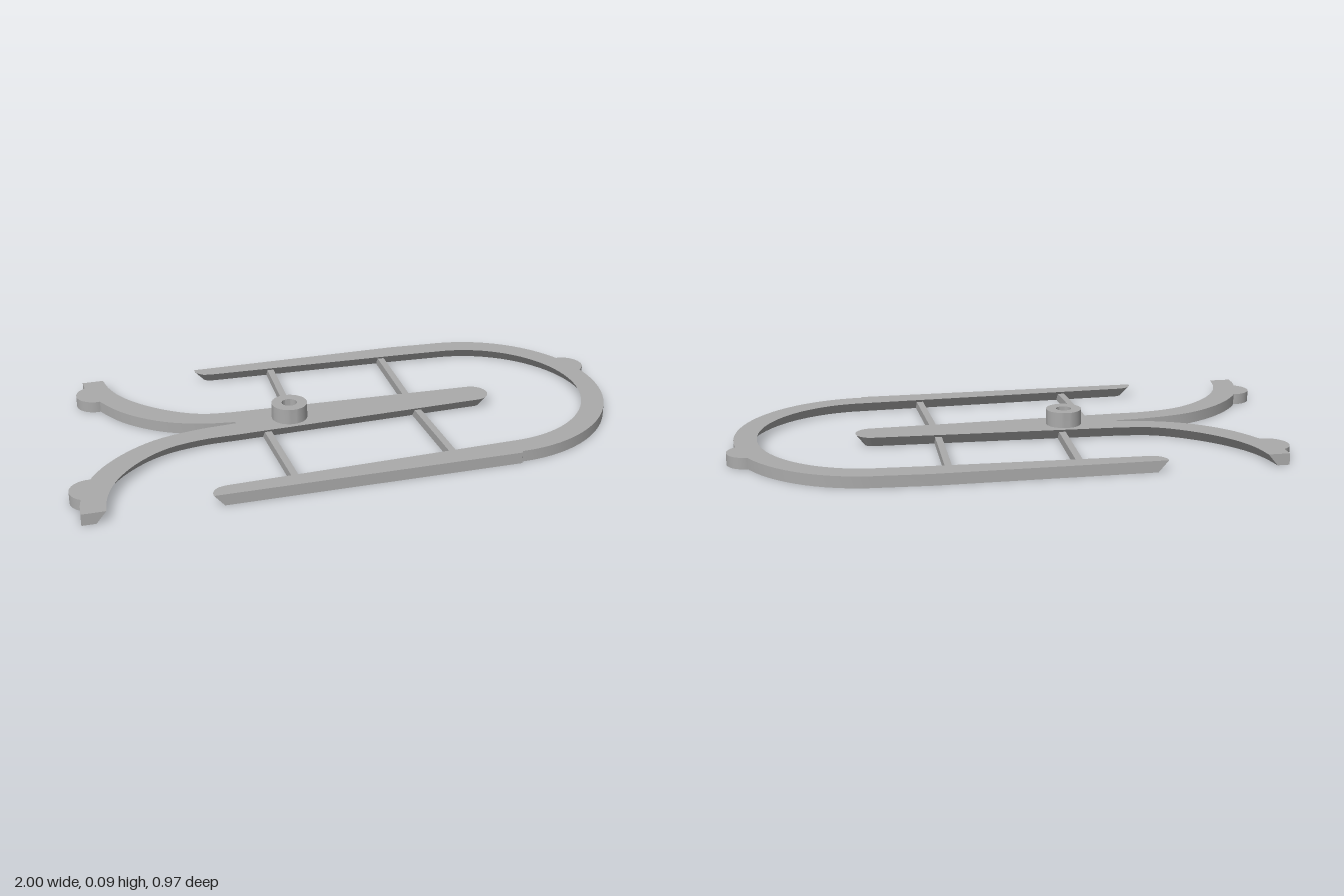
import * as THREE from 'three';
import { toCreasedNormals } from 'three/addons/utils/BufferGeometryUtils.js';

const TOP = 0.04;
const CHAMFER = 0.033;

// Bar lofted through stations [ax, az, bx, bz, bottomShiftX]; a lies left of travel.
// Undercut sides slope inwards towards the bottom face.
function barGeometry(stations, underA, underB) {
  const limit = underA && underB ? 0.27 : 0.6;
  const pos = [];
  const rings = stations.map(([ax, az, bx, bz, shift = 0]) => {
    const t = Math.min(CHAMFER / Math.hypot(bx - ax, bz - az), limit);
    const at = (k, y, s) => [ax + (bx - ax) * k + s, y, az + (bz - az) * k];
    return [at(0, TOP, 0), at(1, TOP, 0),
      at(underB ? 1 - t : 1, 0, shift), at(underA ? t : 0, 0, shift)];
  });
  const quad = (a, b, c, d) => pos.push(...a, ...b, ...c, ...a, ...c, ...d);
  for (let i = 0; i < rings.length - 1; i++) {
    const p = rings[i], q = rings[i + 1];
    for (let k = 0; k < 4; k++) quad(p[k], p[(k + 1) % 4], q[(k + 1) % 4], q[k]);
  }
  const s = rings[0], e = rings[rings.length - 1];
  quad(s[3], s[2], s[1], s[0]);
  quad(e[0], e[1], e[2], e[3]);
  const geo = new THREE.BufferGeometry();
  geo.setAttribute('position', new THREE.Float32BufferAttribute(pos, 3));
  return toCreasedNormals(geo, 0.5);
}

// Smooth stations between two edge curves given as matching point lists
function smoothStations(a, b, n = 28) {
  const curve = (pts) => new THREE.CatmullRomCurve3(pts.map(([x, z]) => new THREE.Vector3(x, 0, z)));
  const ca = curve(a), cb = curve(b), out = [];
  for (let i = 0; i <= n; i++) {
    const p = ca.getPoint(i / n), q = cb.getPoint(i / n);
    out.push([p.x, p.z, q.x, q.z]);
  }
  return out;
}

export function createModel() {
  const group = new THREE.Group();
  const grey = new THREE.MeshStandardMaterial({ color: 0xaaaaaa });
  grey.name = 'plain grey';
  const add = (name, geo) => {
    const mesh = new THREE.Mesh(geo, grey);
    mesh.name = name;
    group.add(mesh);
    return mesh;
  };

  // Outer U-shaped rail: back leg, half-round bend, front leg
  const rail = [
    [-0.44, -0.485, -0.44, -0.465, 0.035],
    [-0.43, -0.485, -0.43, -0.447, 0.031],
    [-0.415, -0.485, -0.415, -0.434, 0.022],
    [-0.39, -0.485, -0.39, -0.428, 0.008],
    [0.35, -0.485, 0.35, -0.403],
  ];
  for (let i = 0; i <= 40; i++) {
    const t = -Math.PI / 2 + (Math.PI * i) / 40;
    rail.push([0.5 + 0.475 * Math.cos(t), 0.475 * Math.sin(t),
      0.5 + 0.395 * Math.cos(t), 0.395 * Math.sin(t)]);
  }
  rail.push(
    [0.495, 0.485, 0.495, 0.395],
    [-0.51, 0.485, -0.51, 0.428, 0.008],
    [-0.535, 0.485, -0.535, 0.434, 0.022],
    [-0.55, 0.485, -0.55, 0.447, 0.031],
    [-0.56, 0.485, -0.56, 0.465, 0.035],
  );
  add('outerRail', barGeometry(rail, false, true));

  // Central tapered bar with a round tip
  const spine = [[-0.385, -0.09, -0.385, 0.087]];
  for (let i = 0; i <= 12; i++) {
    const t = (i / 12) * 1.55, c = 0.057 * Math.cos(t), s = Math.sin(t);
    spine.push([0.498 + 0.057 * s, -c, 0.498 + 0.057 * s, c, -0.031 * s]);
  }
  add('centreBar', barGeometry(spine, true, true));

  // Curved arms sweeping out from the central bar
  add('backArm', barGeometry(smoothStations(
    [[-0.785, -0.485], [-0.772, -0.41], [-0.74, -0.33], [-0.67, -0.235], [-0.57, -0.15], [-0.48, -0.105], [-0.385, -0.09]],
    [[-0.86, -0.485], [-0.855, -0.41], [-0.815, -0.30], [-0.745, -0.185], [-0.63, -0.085], [-0.5, -0.03], [-0.385, -0.01]],
  ), true, false));
  add('frontArm', barGeometry(smoothStations(
    [[-0.98, 0.485], [-0.972, 0.41], [-0.925, 0.27], [-0.83, 0.15], [-0.69, 0.055], [-0.54, 0.014], [-0.385, 0]],
    [[-0.90, 0.485], [-0.885, 0.40], [-0.845, 0.305], [-0.765, 0.205], [-0.65, 0.125], [-0.52, 0.092], [-0.385, 0.087]],
  ), false, true));

  // Half-round lugs: centre and outward direction
  const lug = (name, x, z, dx, dz) => {
    const start = Math.atan2(dx, dz) - Math.PI / 2;
    const geo = new THREE.CylinderGeometry(0.068, 0.068, TOP, 24, 1, false, start, Math.PI);
    add(name, geo).position.set(x, TOP / 2, z);
  };
  lug('bendLug', 0.93, -0.14, 0.95, -0.31);
  lug('backArmLug', -0.828, -0.375, -0.93, 0.36);
  lug('frontArmLug', -0.932, 0.335, -0.93, -0.36);

  // Thin cross struts, their ends buried in the bars
  [[-0.155, -0.45, -0.171, -0.05], [0.281, -0.43, 0.269, -0.03],
    [0.269, 0.03, 0.281, 0.43], [-0.287, 0.045, -0.274, 0.45]].forEach(([x0, z0, x1, z1], i) => {
    const geo = new THREE.BoxGeometry(0.024, 0.03, Math.hypot(x1 - x0, z1 - z0));
    const strut = add('strut' + (i + 1), geo);
    strut.position.set((x0 + x1) / 2, 0.0155, (z0 + z1) / 2);
    strut.rotation.y = Math.atan2(x1 - x0, z1 - z0);
  });

  // Hollow round boss on the central bar
  const profile = [[0.063, 0.035], [0.063, 0.095], [0.027, 0.095], [0.027, 0.035]]
    .map(([r, y]) => new THREE.Vector2(r, y));
  add('boss', toCreasedNormals(new THREE.LatheGeometry(profile, 40), 0.5)).position.set(-0.19, 0, 0);

  return group;
}
